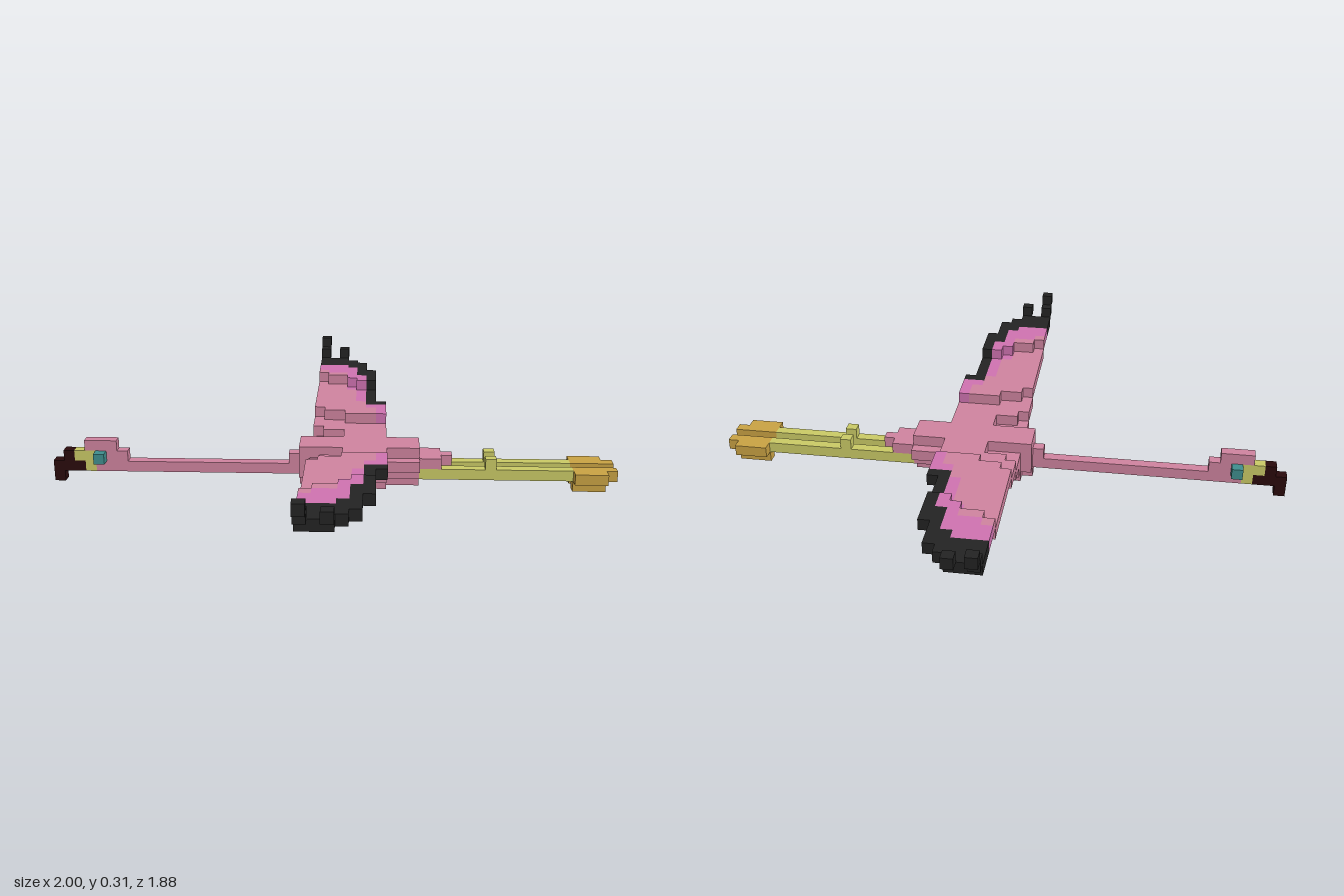
import * as THREE from 'three';
import { mergeGeometries } from 'three/addons/utils/BufferGeometryUtils.js';

const U = 1 / 26; // edge length of one block

const mat = (name, color) => {
  const m = new THREE.MeshStandardMaterial({ color });
  m.name = name;
  return m;
};

// Box covering inclusive block ranges: columns k (x), levels l (y), rows j (z)
function block([k0, k1, l0, l1, j0, j1]) {
  const g = new THREE.BoxGeometry((k1 - k0 + 1) * U, (l1 - l0 + 1) * U, (j1 - j0 + 1) * U);
  g.translate(((k0 + k1 + 1) / 2 - 26) * U, ((l0 + l1 + 1) / 2) * U, ((j0 + j1) / 2) * U);
  return g;
}

const mirrorZ = ([k0, k1, l0, l1, j0, j1]) => [k0, k1, l0, l1, -j1, -j0];

function part(name, material, blocks) {
  const mesh = new THREE.Mesh(mergeGeometries(blocks.map(block)), material);
  mesh.name = name;
  return mesh;
}

// One entry per wing column, front to back along the body:
// first row of levels 3, 4 and 5, then last pink, magenta and black row
const WING = [
  [5, 8, 17, 17, 19, 24],
  [4, 7, 16, 16, 19, 22],
  [4, 7, 16, 16, 19, 23],
  [3, 6, 15, 13, 18, 21],
  [3, 6, 14, 9, 15, 20],
  [3, 6, 14, 7, 8, 17],
  [3, 6, 14, 5, 8, 9],
];

function wingBlocks() {
  const out = { pink: [], magenta: [], black: [] };
  WING.forEach(([l3, l4, l5, pinkEnd, magentaEnd, end], i) => {
    for (let j = 3; j <= end; j++) {
      const level = j >= 24 ? 7 : j >= 23 ? 6 : j >= l5 ? 5 : j >= l4 ? 4 : j >= l3 ? 3 : 2;
      const colour = j <= pinkEnd ? 'pink' : j <= magentaEnd ? 'magenta' : 'black';
      out[colour].push([24 + i, 24 + i, level, level, j, j]);
    }
  });
  return out;
}

export function createModel() {
  const pink = mat('pink plumage', 0xcf839f);
  const magenta = mat('magenta plumage', 0xcf72b0);
  const black = mat('black feathers', 0x232323);
  const yellow = mat('pale yellow', 0xcaca66);
  const orange = mat('foot orange', 0xc9a243);
  const teal = mat('eye teal', 0x3f8e8e);
  const dark = mat('beak dark', 0x2a0a0c);

  const model = new THREE.Group();
  model.name = 'flyingBird';

  // Stepped body with a narrow keel and tapering tail
  model.add(part('body', pink, [
    [23, 33, 0, 0, 0, 0], [24, 30, 0, 0, -1, 1],
    [22, 22, 1, 2, 0, 0], [23, 33, 1, 1, -1, 1], [24, 30, 1, 1, -2, 2],
    [23, 23, 2, 2, -1, 1], [24, 33, 2, 2, -2, 2],
    [23, 33, 3, 3, -1, 1], [27, 30, 3, 3, -2, 2],
  ]));
  model.add(part('tail', pink, [[34, 35, 2, 2, -1, 1], [36, 36, 2, 2, 0, 0]]));

  // Neck, head and hooked beak
  model.add(part('neck', pink, [[4, 21, 1, 1, 0, 0]]));
  model.add(part('head', pink, [[4, 6, 2, 2, 0, 0], [3, 5, 3, 3, 0, 0]]));
  model.add(part('beakBase', yellow, [[2, 3, 2, 2, 0, 0], [3, 3, 1, 1, 0, 0]]));
  model.add(part('beakTip', dark, [[0, 0, 0, 0, 0, 0], [0, 2, 1, 1, 0, 0], [1, 1, 2, 2, 0, 0]]));

  // Paired parts
  const wing = wingBlocks();
  for (const [side, place] of [['front', (b) => b], ['back', mirrorZ]]) {
    const add = (name, material, blocks) => model.add(part(side + name, material, blocks.map(place)));
    add('WingInner', pink, wing.pink);
    add('WingBand', magenta, wing.magenta);
    add('WingFeathers', black, wing.black);
    add('Eye', teal, [[4, 4, 2, 2, 1, 1]]);
    add('Leg', yellow, [[34, 47, 1, 1, 1, 1], [40, 40, 2, 2, 1, 1]]);
    add('Foot', orange, [[48, 51, 1, 1, 1, 1], [48, 50, 1, 1, 2, 2], [48, 50, 0, 0, 1, 1]]);
  }
  return model;
}
